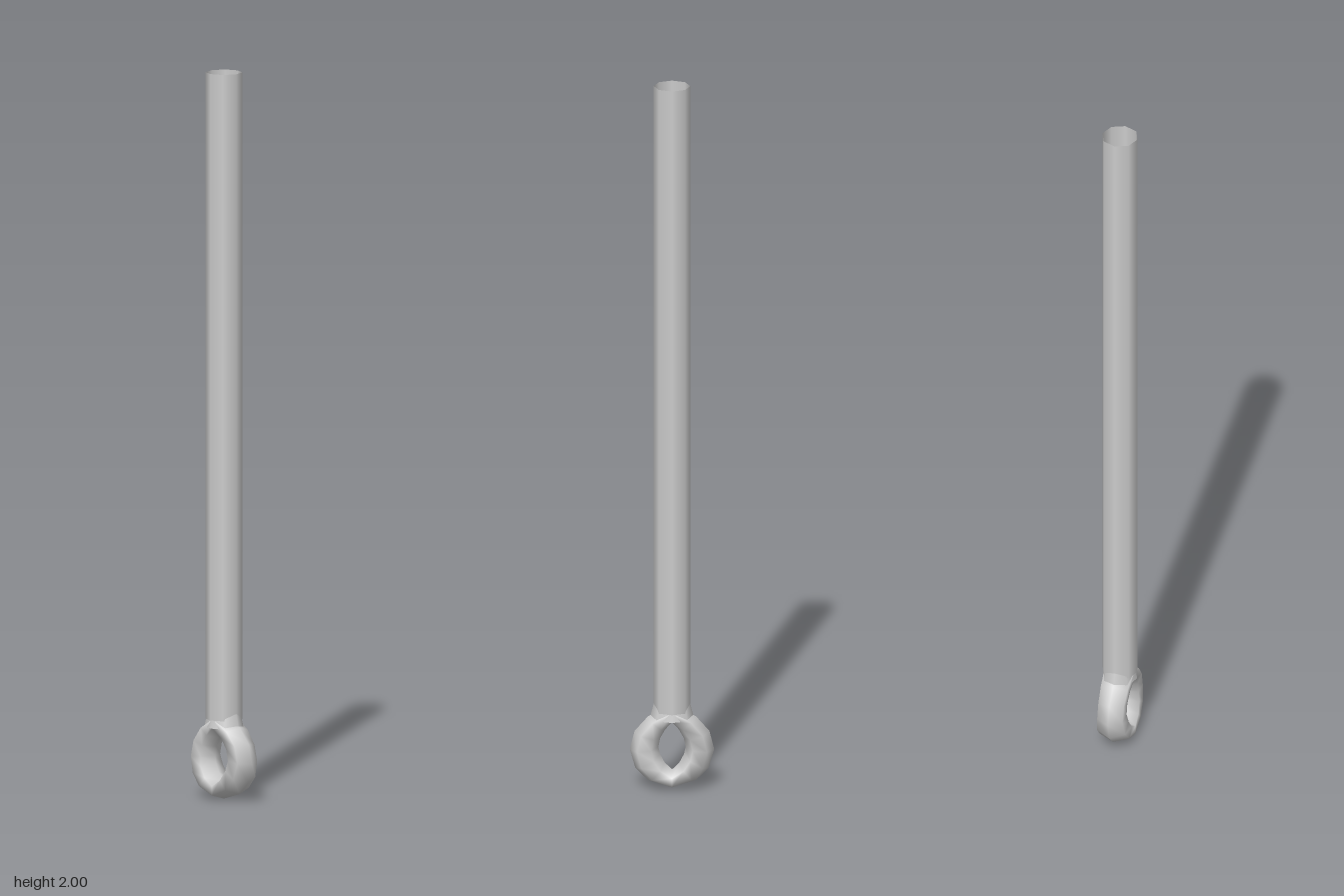
import * as THREE from 'three';

const material = new THREE.MeshStandardMaterial({ color: 0xcccccc, side: THREE.DoubleSide });

// Eye cross-sections, bottom to top: inner z, inner y, outer z, outer y, half width
const HALF_EYE = [
  [0, 0.05, 0, 0.0, 0.044],
  [0.02, 0.07, 0.065, 0.02, 0.043],
  [0.033, 0.095, 0.1, 0.055, 0.04],
  [0.037, 0.115, 0.115, 0.108, 0.036],
  [0.032, 0.14, 0.102, 0.16, 0.036],
  [0.018, 0.165, 0.065, 0.202, 0.038],
  [0, 0.185, 0, 0.235, 0.042],
];

// Closed loop of six-sided sections, mirrored front to back
function eyeGeometry() {
  const mirrored = HALF_EYE.slice(1, -1).reverse().map(([iz, iy, oz, oy, w]) => [-iz, iy, -oz, oy, w]);
  const stations = [...HALF_EYE, ...mirrored];
  const sides = 6;
  const positions = [];
  const index = [];
  stations.forEach(([iz, iy, oz, oy, w], j) => {
    const next = (j + 1) % stations.length;
    for (let i = 0; i < sides; i++) {
      const t = (i / sides) * Math.PI * 2;
      const k = (1 + Math.cos(t)) / 2;
      const x = (w * Math.sin(t)) / Math.sin(Math.PI / 3);
      positions.push(x, iy + (oy - iy) * k, iz + (oz - iz) * k);
      const i2 = (i + 1) % sides;
      const a = j * sides + i, b = j * sides + i2;
      const c = next * sides + i, d = next * sides + i2;
      index.push(a, b, c, b, d, c);
    }
  });
  const geometry = new THREE.BufferGeometry();
  geometry.setAttribute('position', new THREE.Float32BufferAttribute(positions, 3));
  geometry.setIndex(index);
  geometry.computeVertexNormals();
  return geometry;
}

export function createModel() {
  const group = new THREE.Group();
  const add = (name, geometry) => {
    const mesh = new THREE.Mesh(geometry, material);
    mesh.name = name;
    group.add(mesh);
    return mesh;
  };

  // Hollow eight-sided shaft, open at the top
  const shaft = add('shaft', new THREE.CylinderGeometry(0.05, 0.05, 1.78, 8, 1, true));
  shaft.position.y = 1.11;

  // Neck flaring front and back into the eye
  const neck = add('neck', new THREE.CylinderGeometry(0.049, 0.06, 0.045, 8, 1, true));
  neck.geometry.scale(0.8, 1, 1);
  neck.position.y = 0.22;

  add('eyeLoop', eyeGeometry());
  return group;
}
